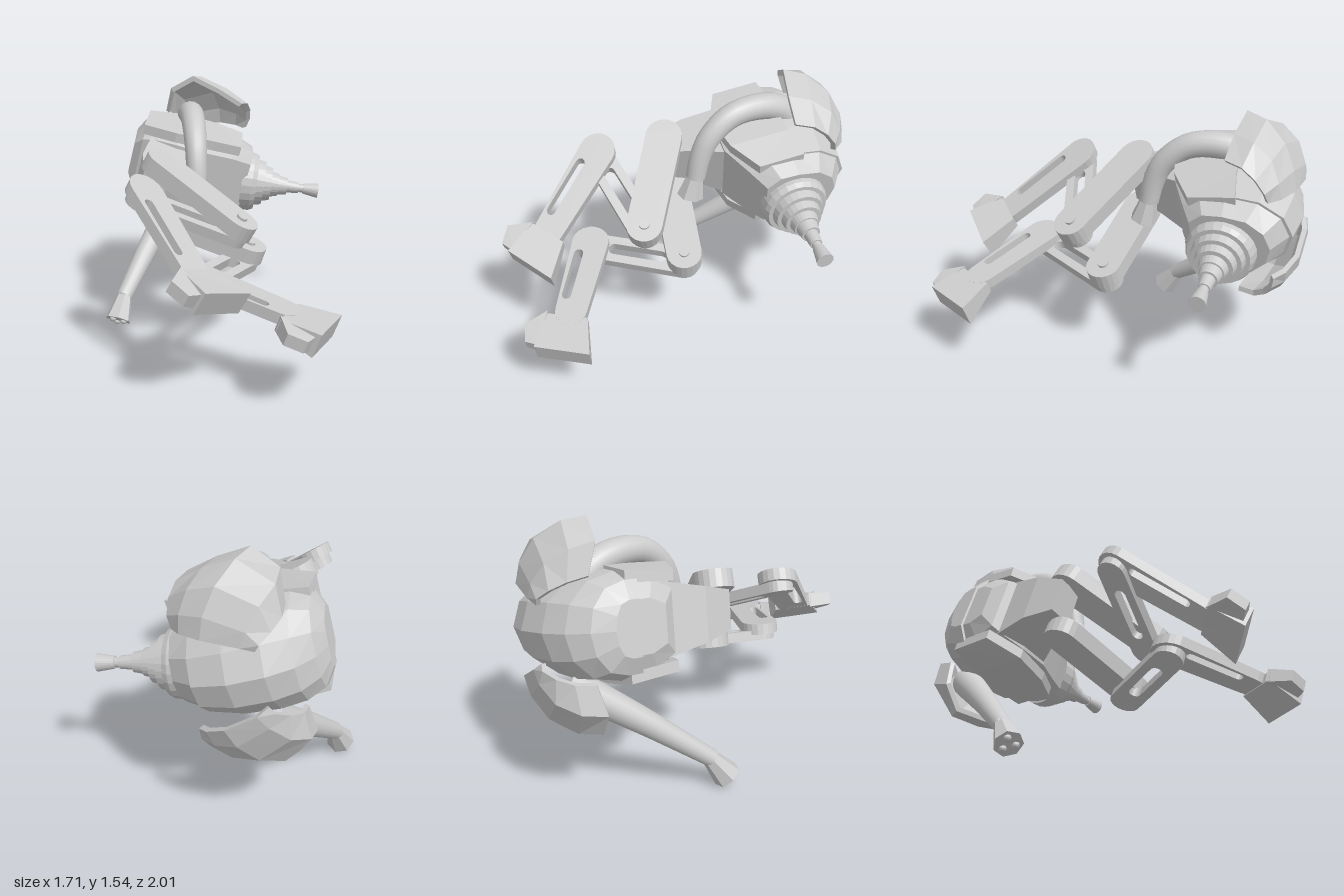
import * as THREE from 'three';

const V = (x, y, z) => new THREE.Vector3(x, y, z);
const flat = new THREE.MeshStandardMaterial({ color: 0xcccccc, flatShading: true });
const thin = new THREE.MeshStandardMaterial({ color: 0xcccccc, flatShading: true, side: THREE.DoubleSide });
const smooth = new THREE.MeshStandardMaterial({ color: 0xcccccc });

function mesh(name, geo, mat = flat) {
  const m = new THREE.Mesh(geo, mat);
  m.name = name;
  return m;
}

// Closed solid through rings of points, always wound outwards; ends are closed by a strip
function loft(rings) {
  const n = rings[0].length, tris = [];
  for (let i = 0; i + 1 < rings.length; i++) {
    for (let j = 0; j < n; j++) {
      const k = (j + 1) % n, A = rings[i], B = rings[i + 1];
      tris.push([A[j], A[k], B[k]], [A[j], B[k], B[j]]);
    }
  }
  const first = rings[0], last = rings[rings.length - 1];
  for (let i = 0; i < (n - 1) / 2; i++) {
    const [a, b, c, d] = [i, i + 1, n - 2 - i, n - 1 - i];
    if (b > c) break;
    tris.push([first[a], first[c], first[b]], [first[a], first[d], first[c]]);
    tris.push([last[a], last[b], last[c]], [last[a], last[c], last[d]]);
  }
  let volume = 0;
  for (const [a, b, c] of tris) volume += a.dot(b.clone().cross(c));
  const pos = [];
  for (const t of tris) for (const p of volume < 0 ? [t[0], t[2], t[1]] : t) pos.push(p.x, p.y, p.z);
  const g = new THREE.BufferGeometry();
  g.setAttribute('position', new THREE.Float32BufferAttribute(pos, 3));
  g.computeVertexNormals();
  return g;
}

// Geometry along +y placed from p towards q
function along(m, p, q) {
  m.position.copy(p);
  m.quaternion.setFromUnitVectors(V(0, 1, 0), q.clone().sub(p).normalize());
  return m;
}

// Body frame: a = long axis to the neck, s = side, f = forward
const C = V(-0.45, 0.97, -0.6);
const S = V(0.27, 0.963, 0).normalize();
const A = V(0.9, -0.253, -0.34).normalize();
const F = A.clone().cross(S).negate().normalize();
if (F.z < 0) F.negate();
const body = (a, s, f) => C.clone().addScaledVector(A, a).addScaledVector(S, s).addScaledVector(F, f);

// Mirror a point over the body's middle plane
const M0 = V(-0.5, 0.978, 0);
const mirror = p => p.clone().addScaledVector(S, -2 * p.clone().sub(M0).dot(S));

function bodyParts(g) {
  // stations: a, half width, back depth, front depth
  const stations = [
    [-0.37, 0.14, 0.07, 0.22], [-0.32, 0.23, 0.18, 0.29], [-0.23, 0.27, 0.27, 0.33], [-0.1, 0.285, 0.33, 0.36],
    [0.08, 0.28, 0.36, 0.36], [0.26, 0.25, 0.33, 0.27], [0.39, 0.21, 0.24, 0.2]
  ];
  const half = [[0.72, 1], [1, 0.6], [1, 0.05], [0.87, -0.5], [0.5, -0.87]];
  const flip = pts => pts.map(([s, f]) => [-s, f]).reverse();
  g.add(mesh('torso', loft(stations.map(([a, w, b, d]) =>
    [...half, [0, -1], ...flip(half)].map(([s, f]) => body(a, s * w, f > 0 ? f * d : f * b))))));
  // rounded armour over the back
  const side = [[1, 0.3], ...half.slice(2)];
  g.add(mesh('backShell', loft(stations.slice(0, 6).map(([a, w, b, d]) =>
    [...side, [0, -1], ...flip(side)].map(([s, f]) => body(a * 1.03, s * w * 1.04, f > 0 ? f * d : f * b * 1.04))))));
  // side lips along the front of the torso
  for (const k of [1, -1]) {
    const lip = (a, w, f0, f1) => [[w - 0.06, f0], [w, f0], [w - 0.02, f1], [w - 0.08, f1]]
      .map(([s, f]) => body(a, s * k, f));
    g.add(mesh('sideLip', loft([lip(-0.33, 0.285, 0.02, 0.3), lip(-0.12, 0.31, 0.0, 0.39),
      lip(0.12, 0.305, -0.02, 0.34), lip(0.3, 0.275, -0.05, 0.22)])));
  }
  // tapered block that carries the legs
  const block = (a0, a1, w, f) => [[a0, -w], [a1, -w], [a1, w], [a0, w]].map(([a, s]) => body(a, s, f));
  g.add(mesh('legMount', loft([block(-0.27, 0.12, 0.2, 0.28), block(-0.29, -0.02, 0.15, 0.52), block(-0.25, -0.1, 0.11, 0.7)])));

  // stepped neck
  const profile = [[0, 0], [0.2, 0], [0.195, 0.07], [0.18, 0.1], [0.155, 0.1], [0.145, 0.15], [0.12, 0.15],
    [0.11, 0.2], [0.085, 0.2], [0.075, 0.25], [0.065, 0.25], [0.055, 0.31], [0.042, 0.31], [0.036, 0.39],
    [0.028, 0.39], [0.028, 0.42], [0.034, 0.42], [0.05, 0.52], [0, 0.52]].map(([r, y]) => new THREE.Vector2(r, y));
  g.add(along(mesh('steppedNeck', new THREE.LatheGeometry(profile, 24)), V(-0.11, 0.85, -0.7), V(0.38, 0.78, -0.87)));
}

// Shoulder guards: curved plates with thickness
function shoulderGuards(g) {
  const rows = [
    [V(-0.63, 1.3, -0.64), V(-0.57, 1.46, -0.59), V(-0.42, 1.545, -0.61), V(-0.25, 1.465, -0.64), V(-0.1, 1.37, -0.68)],
    [V(-0.67, 1.29, -0.75), V(-0.62, 1.44, -0.73), V(-0.41, 1.525, -0.74), V(-0.24, 1.45, -0.77), V(-0.1, 1.355, -0.79)],
    [V(-0.66, 1.25, -0.84), V(-0.6, 1.37, -0.85), V(-0.38, 1.43, -0.88), V(-0.23, 1.38, -0.89), V(-0.11, 1.3, -0.87)],
    [V(-0.63, 1.2, -0.9), V(-0.57, 1.26, -0.92), V(-0.36, 1.3, -0.96), V(-0.22, 1.27, -0.95), V(-0.13, 1.23, -0.92)],
    [V(-0.61, 1.16, -0.9), V(-0.55, 1.18, -0.94), V(-0.36, 1.19, -0.985), V(-0.23, 1.18, -0.97), V(-0.16, 1.17, -0.93)]
  ];
  const centre = V(-0.38, 1.12, -0.62);
  const rings = rows.map(r => [...r, ...r.map(p => p.clone().lerp(centre, 0.08)).reverse()]);
  g.add(mesh('leftShoulderGuard', loft(rings), thin));
  g.add(mesh('rightShoulderGuard', loft(rings.map(r => r.map(mirror))), thin));
}

// Flared hand with three finger knobs
function hand(name, from, to) {
  const h = new THREE.Group();
  h.name = name;
  const L = from.distanceTo(to);
  const cup = mesh('palm', new THREE.CylinderGeometry(0.083, 0.048, L, 7));
  cup.position.y = L / 2;
  h.add(cup);
  for (let i = 0; i < 3; i++) {
    const t = i * Math.PI * 2 / 3, k = mesh('fingerKnob', new THREE.SphereGeometry(0.022, 10, 8), smooth);
    k.position.set(Math.cos(t) * 0.04, L, Math.sin(t) * 0.04);
    h.add(k);
  }
  return along(h, from, to);
}

// Tapered round arm along a curve
function arm(name, points, r0, r1) {
  const n = 20, sides = 16, curve = new THREE.CatmullRomCurve3(points);
  const geo = new THREE.TubeGeometry(curve, n, 1, sides, false), p = geo.attributes.position;
  for (let i = 0; i <= n; i++) {
    const c = curve.getPointAt(i / n), r = r0 + (r1 - r0) * i / n;
    for (let j = 0; j <= sides; j++) {
      const k = i * (sides + 1) + j, v = V().fromBufferAttribute(p, k).sub(c).multiplyScalar(r).add(c);
      p.setXYZ(k, v.x, v.y, v.z);
    }
  }
  return mesh(name, geo, smooth);
}

// Flat leg in a tilted plane; points are given as [x, z] on that plane, drop lowers the foot
function leg(name, hip, normal, { knee, ankle, toe, foot, toePad, drop }) {
  const g = new THREE.Group(), N = normal.clone().normalize();
  g.name = name;
  g.matrix.makeBasis(V(N.y, -N.x, 0), V(0, 0, -1), N).setPosition(hip);
  g.matrix.decompose(g.position, g.quaternion, g.scale);
  const at = ([x, z]) => new THREE.Vector2((x - hip.x) / N.y, hip.z - z);
  const outline = (p, q, rp, rq) => {
    const t = Math.atan2(q.y - p.y, q.x - p.x), pts = [];
    for (const [c, r, s] of [[p, rp, t + Math.PI / 2], [q, rq, t - Math.PI / 2]])
      for (let i = 0; i <= 10; i++) {
        const b = s + i * Math.PI / 10;
        pts.push(new THREE.Vector2(c.x + Math.cos(b) * r, c.y + Math.sin(b) * r));
      }
    return pts;
  };
  // rounded bar from p to q whose height runs from level z0 to z1
  const link = (part, p, q, rp, rq, z0, z1, depth, slot) => {
    const shape = new THREE.Shape(outline(p, q, rp, rq)), d = q.clone().sub(p), L = d.length();
    d.normalize();
    if (slot) {
      const o = new THREE.Vector2(d.y, -d.x).multiplyScalar(slot.off);
      shape.holes.push(new THREE.Path(outline(p.clone().lerp(q, slot.from).add(o), p.clone().lerp(q, slot.to).add(o), slot.r, slot.r)));
    }
    const geo = new THREE.ExtrudeGeometry(shape, { depth, bevelEnabled: false }), v = geo.attributes.position;
    for (let i = 0; i < v.count; i++) {
      const t = ((v.getX(i) - p.x) * d.x + (v.getY(i) - p.y) * d.y) / L;
      v.setZ(i, v.getZ(i) - depth / 2 + z0 + (z1 - z0) * t);
    }
    g.add(mesh(part, geo));
  };
  const K = at(knee), J = at(ankle), T = at(toe);
  link('thigh', new THREE.Vector2(0, 0), K, 0.11, 0.105, 0, 0, 0.1);
  link('calf', K, J, 0.09, 0.085, -0.07, -0.06, 0.06, { from: 0.25, to: 0.75, r: 0.035, off: 0 });
  link('shin', J, T, 0.11, 0.09, -0.01, -drop, 0.065, { from: 0.2, to: 0.8, r: 0.027, off: 0.05 });
  // knee bolt
  const bolt = mesh('kneeBolt', new THREE.CylinderGeometry(0.032, 0.032, 0.13, 12));
  bolt.rotation.x = Math.PI / 2;
  bolt.position.set(K.x, K.y, 0);
  g.add(bolt);
  // wedge foot and its side toe
  const wedge = (pts, h0, h1) => {
    const [a, b, c, d] = pts.map(at);
    const end = (p, q, h) => [[p, -h], [q, -h], [q, h], [p, h]].map(([e, z]) => V(e.x, e.y, z - drop));
    return loft([end(a, b, h0), end(d, c, h1)]);
  };
  g.add(mesh('foot', wedge(foot, 0.035, 0.07)));
  g.add(mesh('toe', wedge(toePad, 0.045, 0.035)));
  return g;
}

export function createModel() {
  const g = new THREE.Group();
  g.name = 'robot';
  bodyParts(g);
  shoulderGuards(g);

  // raised curved arm
  g.add(arm('leftArm', [V(-0.5, 1.15, -0.72), V(-0.44, 1.28, -0.6), V(-0.37, 1.32, -0.46), V(-0.29, 1.295, -0.31),
    V(-0.225, 1.18, -0.19), V(-0.2, 1.05, -0.14), V(-0.19, 0.93, -0.12)], 0.09, 0.06));
  g.add(hand('leftHand', V(-0.19, 0.95, -0.12), V(-0.18, 0.8, -0.09)));
  // straight hanging arm
  g.add(arm('rightArm', [V(-0.61, 0.72, -0.78), V(-0.64, 0.45, -0.38), V(-0.665, 0.18, -0.01)], 0.095, 0.05));
  g.add(hand('rightHand', V(-0.665, 0.185, -0.02), V(-0.665, 0.055, 0.08)));

  g.add(leg('leftLeg', V(-0.33, 1.1, 0.08), V(0.49, 0.87, 0), {
    knee: [0.18, 0.16], ankle: [-0.24, 0.48], toe: [0.19, 0.735], drop: 0.1,
    foot: [[0.25, 0.64], [0.15, 0.84], [0.32, 0.95], [0.46, 0.68]],
    toePad: [[0.15, 0.83], [0.31, 0.93], [0.27, 1.0], [0.17, 0.98]]
  }));
  g.add(leg('rightLeg', V(-0.35, 0.77, 0.05), V(0.34, 0.94, 0), {
    knee: [0.16, -0.07], ankle: [0.09, 0.5], toe: [0.56, 0.55], drop: -0.055,
    foot: [[0.6, 0.45], [0.58, 0.7], [0.79, 0.72], [0.82, 0.41]],
    toePad: [[0.57, 0.68], [0.77, 0.7], [0.75, 0.78], [0.65, 0.8]]
  }));
  return g;
}
